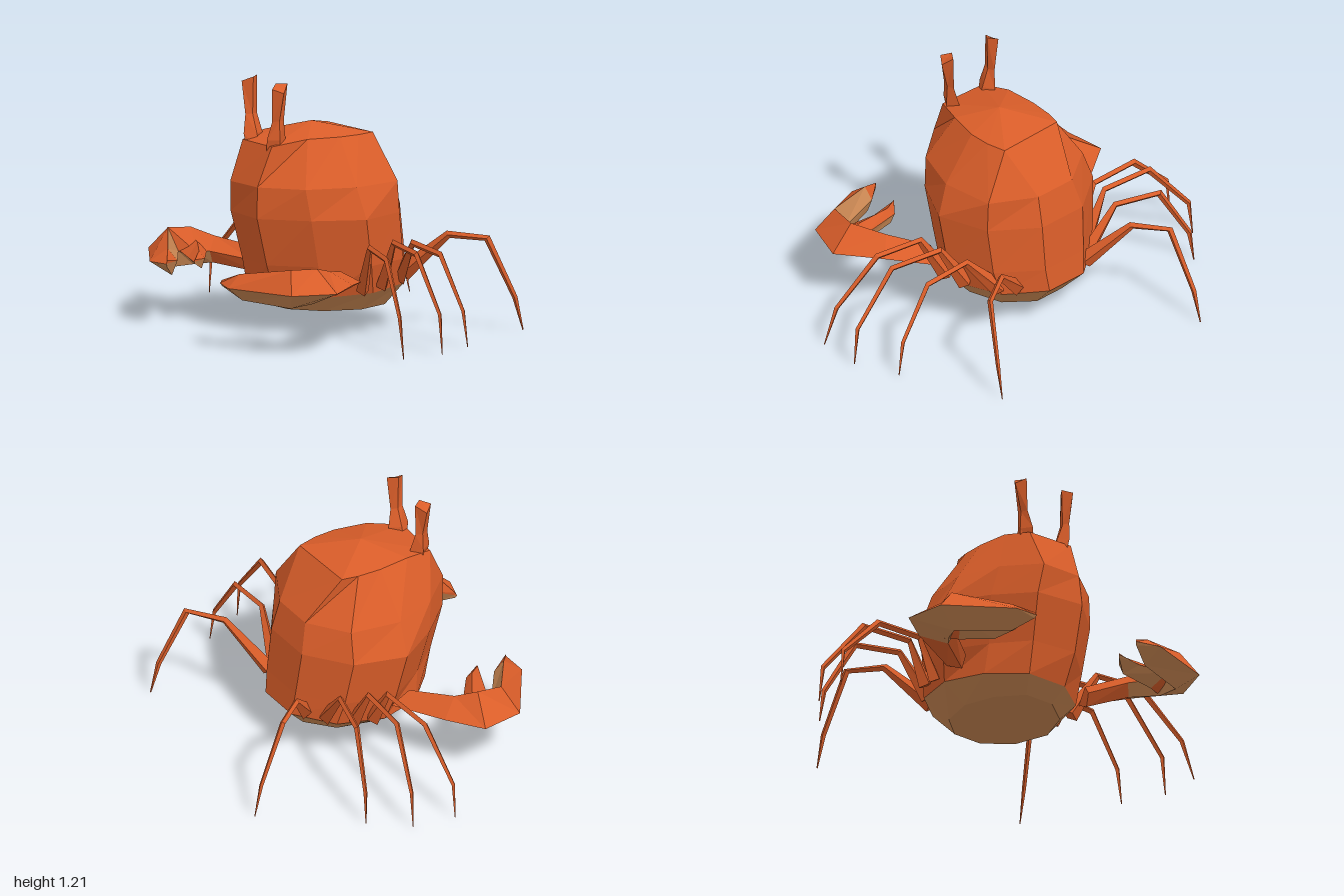
import * as THREE from 'three';

const shell = new THREE.MeshStandardMaterial({ color: 0xd95d29, flatShading: true, name: 'orangeShell' });
const under = new THREE.MeshStandardMaterial({ color: 0xcb8853, flatShading: true, name: 'tanUnderside' });
const V = (x, y, z) => new THREE.Vector3(x, y, z);

// Closed skin over a list of equal-sided rings; isUnder(row, column) picks the tan faces.
function loft(name, rings, isUnder = () => false) {
  const lists = [[], []];
  const n = rings[0].length;
  const centre = (r) => r.reduce((s, p) => s.add(p), V(0, 0, 0)).divideScalar(n);
  const last = rings.length - 1;
  const tri = (tan, a, b, c) => lists[tan ? 1 : 0].push([a, b, c]);
  for (let i = 0; i < n; i++) {
    const j = (i + 1) % n;
    tri(isUnder(-1, i), rings[0].centre || centre(rings[0]), rings[0][i], rings[0][j]);
    for (let r = 0; r < last; r++) {
      const [a, b, c, d] = [rings[r][i], rings[r][j], rings[r + 1][j], rings[r + 1][i]];
      tri(isUnder(r, i), a, d, b);
      tri(isUnder(r, i), b, d, c);
    }
    tri(isUnder(last, i), rings[last].centre || centre(rings[last]), rings[last][j], rings[last][i]);
  }
  // Turn the faces outward if the skin came out inside out
  const o = centre(rings[0]);
  let volume = 0;
  for (const [a, b, c] of lists.flat()) {
    volume += a.clone().sub(o).dot(b.clone().sub(o).cross(c.clone().sub(o)));
  }
  const pos = [];
  for (const t of lists.flat()) for (const p of volume < 0 ? [t[0], t[2], t[1]] : t) pos.push(p.x, p.y, p.z);
  const g = new THREE.BufferGeometry();
  g.setAttribute('position', new THREE.Float32BufferAttribute(pos, 3));
  g.computeVertexNormals();
  g.addGroup(0, lists[0].length * 3, 0);
  if (lists[1].length) g.addGroup(lists[0].length * 3, lists[1].length * 3, 1);
  const mesh = new THREE.Mesh(g, [shell, under]);
  mesh.name = name;
  return mesh;
}

// Tall ten-sided body with a tan belly
function makeBody() {
  // Uneven bulges and dents of the ten sides, at the waist and at the shoulder
  const flat = [0, 0, 0, 0, -0.02, 0, 0, 0, 0, 0];
  const waist = [0, -0.03, 0, -0.03, -0.075, 0, 0, 0, 0, 0];
  const shoulder = [0, 0, 0, 0, -0.03, 0, 0.02, 0, 0, 0.045];
  // [y, centre x, half width, back z, front z, tilt, bulges]
  const rows = [
    [0.12, 0.02, 0.26, -0.27, 0.29, 0, flat],
    [0.21, 0, 0.36, -0.37, 0.37, -0.06, flat],
    [0.35, 0, 0.4, -0.355, 0.43, 0, waist],
    [0.58, -0.01, 0.425, -0.33, 0.485, 0, waist],
    [0.73, 0, 0.355, -0.29, 0.475, 0, shoulder],
  ];
  const rings = rows.map(([y, cx, hx, back, front, tilt, bulge]) =>
    Array.from({ length: 10 }, (_, k) => {
      const a = (k * Math.PI) / 5;
      const z = (back + front) / 2 + ((front - back) / 2 / 0.951 + bulge[k]) * Math.sin(a);
      return V(cx + (hx + bulge[k]) * Math.cos(a) - 0.035 * Math.max(0, Math.sin(a)), y + tilt * z, z);
    }));
  const crown = [[0.2, 0.08], [0.16, 0.24], [0.09, 0.4], [-0.16, 0.39], [-0.19, 0.24],
    [-0.2, 0.08], [-0.19, -0.04], [-0.17, -0.12], [0.18, -0.13], [0.2, -0.03]];
  rings.push(crown.map(([x, z]) => V(x, z > 0.3 ? 0.92 : 0.95, z)));
  rings[0].centre = V(0, 0.093, 0.1);
  rings[5].centre = V(0, 1.005, 0.1);
  return loft('body', rings, (row) => row < 1);
}

// Eye stalk: wide foot, thin neck, flared and slanted tip
function makeEye(name, side, x, z) {
  const rows = [
    [0.86, -0.03, 0.045, 0.045], [0.95, -0.015, 0.032, 0.055],
    [1.04, 0, 0.012, 0.034], [1.2, 0.015, 0.033, 0.045],
  ];
  return loft(name, rows.map(([y, dx, rx, rz], i) => {
    const slant = i === 3 ? 0.02 : 0;
    const cx = x + side * dx;
    return [V(cx + side * rx, y - slant, z), V(cx, y, z + rz),
      V(cx - side * rx, y + slant, z), V(cx, y + slant, z - rz)];
  }));
}

// Jointed leg: four-sided tube through its joints, tapering to a point
function makeLeg(name, joints) {
  const p = joints.map((j) => V(...j));
  const out = p[p.length - 1].clone().sub(p[0]).setY(0).normalize();
  const side = V(-out.z, 0, out.x);
  const radii = [0.042, 0.019, 0.018, 0.013, 0.003];
  return loft(name, p.map((c, i) => {
    const t = p[Math.min(i + 1, p.length - 1)].clone().sub(p[Math.max(i - 1, 0)]).normalize();
    const up = t.cross(side).normalize();
    const at = (s, u) => c.clone().addScaledVector(side, s * radii[i] * 0.75).addScaledVector(up, u * radii[i]);
    return [at(1, 0), at(0, 1), at(-1, 0), at(0, -1)];
  }));
}

// Claw piece; each section: outer x z, inner x z, middle, top and bottom height.
// The keel is tucked inward; row innerTan also has a tan inner face.
function clawPiece(name, sections, innerTan) {
  return loft(name, sections.map(([ox, oz, ix, iz, mid, top, bottom]) => {
    const at = (w, y) => V(ox + (ix - ox) * w, y, oz + (iz - oz) * w);
    return [at(0, mid), at(0.65, top), at(1, mid), at(0.8, bottom)];
  }), (row, col) => row > 0 && (col > 1 || (row === innerTan && col === 1)));
}

function makeClaw(name, main, finger) {
  const g = new THREE.Group();
  g.name = name;
  const h = [[0.28, 0.335, 0.22], [0.31, 0.375, 0.25], [0.31, 0.415, 0.24], [0.31, 0.42, 0.23], [0.31, 0.37, 0.24], [0.315, 0.33, 0.3]];
  const f = [[0.31, 0.36, 0.25], [0.31, 0.355, 0.25], [0.31, 0.345, 0.26], [0.31, 0.32, 0.3]];
  g.add(clawPiece('armAndOuterFinger', main.map((s, i) => [...s, ...h[i]]), 3));
  g.add(clawPiece('innerFinger', finger.map((s, i) => [...s, ...f[i]])));
  return g;
}

export function createModel() {
  const model = new THREE.Group();
  model.name = 'crab';
  model.add(makeBody());
  model.add(makeEye('leftEyeStalk', 1, 0.085, 0.36));
  model.add(makeEye('rightEyeStalk', -1, -0.16, 0.34));

  model.add(makeClaw('leftClaw',
    [[0.4, 0.1, 0.34, 0.24], [0.58, 0.28, 0.45, 0.4], [0.73, 0.48, 0.52, 0.51],
      [0.65, 0.69, 0.53, 0.61], [0.3, 0.81, 0.28, 0.69], [0.18, 0.77, 0.19, 0.76]],
    [[0.64, 0.6, 0.56, 0.46], [0.52, 0.61, 0.48, 0.5], [0.36, 0.59, 0.28, 0.53], [0.21, 0.615, 0.215, 0.605]]));
  model.add(makeClaw('rightClaw',
    [[-0.37, 0.03, -0.38, 0.18], [-0.65, 0.15, -0.55, 0.3], [-0.82, 0.27, -0.58, 0.36],
      [-0.8, 0.48, -0.64, 0.42], [-0.5, 0.69, -0.44, 0.57], [-0.37, 0.685, -0.38, 0.675]],
    [[-0.72, 0.4, -0.6, 0.28], [-0.62, 0.42, -0.55, 0.32], [-0.48, 0.48, -0.41, 0.43], [-0.36, 0.53, -0.365, 0.52]]));

  // Joints of each leg from body to tip
  const legs = {
    leftFrontLeg: [[0.37, 0.23, 0.07], [0.5, 0.46, 0.12], [0.72, 0.44, 0.18], [0.92, 0.2, 0.25], [0.98, 0.01, 0.27]],
    leftSecondLeg: [[0.36, 0.24, -0.05], [0.5, 0.47, -0.02], [0.76, 0.46, 0.035], [0.97, 0.2, 0.05], [0.99, 0.01, 0.05]],
    leftThirdLeg: [[0.29, 0.25, -0.21], [0.46, 0.45, -0.16], [0.7, 0.43, -0.15], [0.87, 0.18, -0.16], [0.9, 0.01, -0.165]],
    leftBackLeg: [[0.23, 0.26, -0.27], [0.44, 0.465, -0.385], [0.61, 0.46, -0.49], [0.67, 0.17, -0.61], [0.68, 0.01, -0.65]],
    rightFrontLeg: [[-0.36, 0.24, -0.07], [-0.47, 0.43, -0.055], [-0.75, 0.41, -0.03], [-0.98, 0.19, -0.02], [-0.995, 0.01, -0.02]],
    rightSecondLeg: [[-0.34, 0.25, -0.16], [-0.45, 0.45, -0.15], [-0.72, 0.45, -0.17], [-0.93, 0.19, -0.225], [-0.95, 0.01, -0.23]],
    rightThirdLeg: [[-0.24, 0.25, -0.26], [-0.4, 0.45, -0.28], [-0.63, 0.44, -0.34], [-0.78, 0.17, -0.39], [-0.8, 0.01, -0.4]],
    rightBackLeg: [[-0.16, 0.26, -0.32], [-0.32, 0.465, -0.48], [-0.43, 0.465, -0.63], [-0.455, 0.17, -0.77], [-0.46, 0.01, -0.81]],
  };
  for (const [name, joints] of Object.entries(legs)) model.add(makeLeg(name, joints));
  return model;
}
